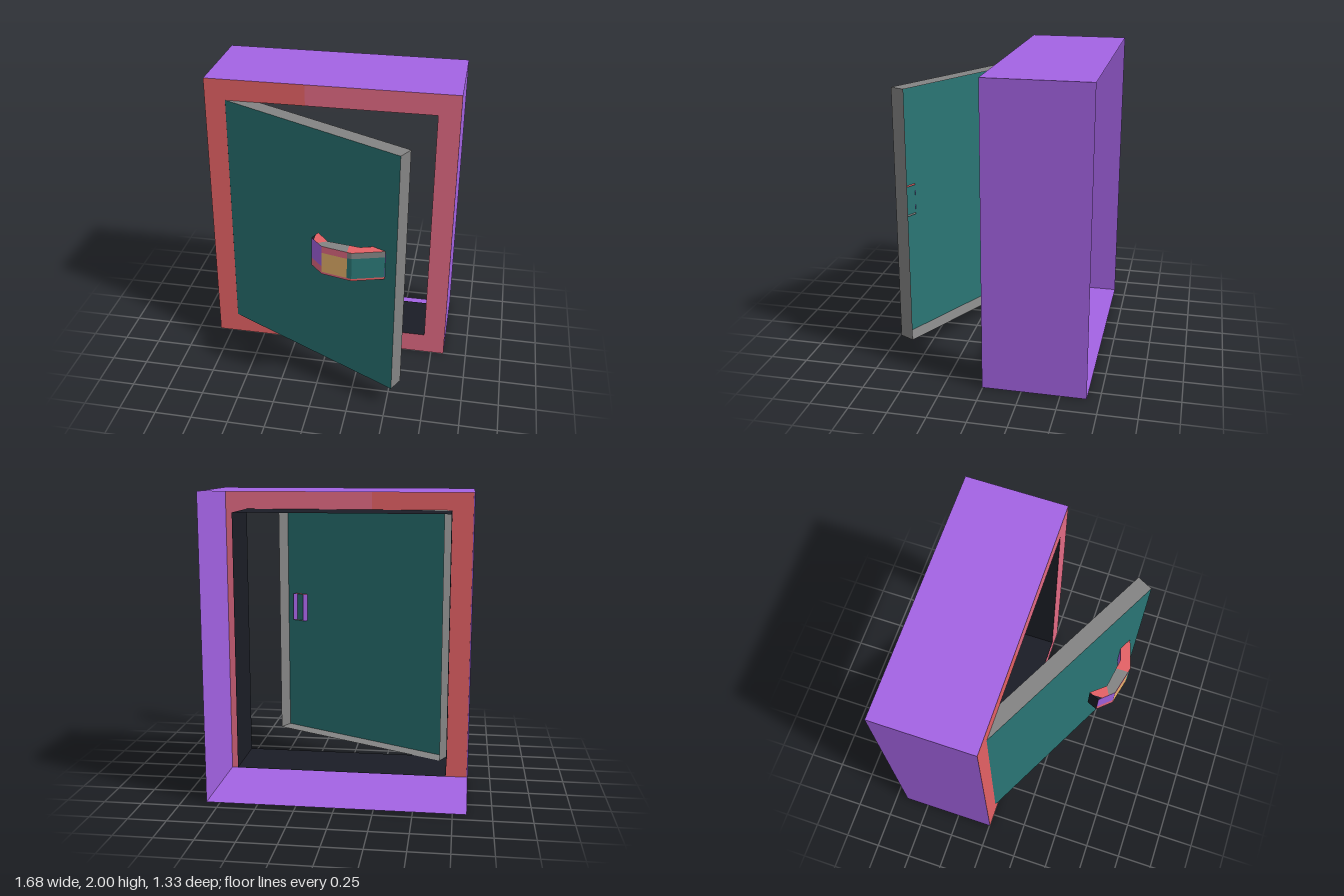
import * as THREE from 'three';

const mat = (name, color) => {
  const m = new THREE.MeshStandardMaterial({ color, side: THREE.DoubleSide });
  m.name = name;
  return m;
};

export function createModel() {
  const purple = mat('purple', 0xa463e4);
  const coral = mat('coral', 0xe46165);
  const pink = mat('pink', 0xe36a84);
  const teal = mat('teal', 0x2a7675);
  const grey = mat('grey', 0x848484);
  const ochre = mat('ochre', 0xe6b26a);
  const black = mat('black', 0x1b1d26);

  const model = new THREE.Group();
  const add = (parent, name, geometry, material) => {
    const mesh = new THREE.Mesh(geometry, material);
    mesh.name = name;
    parent.add(mesh);
  };

  // flat convex face from corners in counter-clockwise order
  const face = (...corners) => {
    const g = new THREE.BufferGeometry();
    g.setAttribute('position', new THREE.Float32BufferAttribute(corners.flat(), 3));
    const index = [];
    for (let i = 1; i < corners.length - 1; i++) index.push(0, i, i + 1);
    g.setIndex(index);
    const flat = g.toNonIndexed();
    flat.computeVertexNormals();
    return flat;
  };

  // four thin walls around a rectangle, open at both ends
  const addWalls = (parent, name, material, [x0, x1, y0, y1], zFront, zBack, inward) => {
    const walls = new THREE.Group();
    walls.name = name;
    const loop = [[x0, y0], [x1, y0], [x1, y1], [x0, y1]];
    if (inward) loop.reverse();
    const sides = ['A', 'B', 'C', 'D'];
    loop.forEach((a, i) => {
      const b = loop[(i + 1) % 4];
      add(walls, name + sides[i],
        face([...a, zFront], [...a, zBack], [...b, zBack], [...b, zFront]), material);
    });
    parent.add(walls);
  };

  const flatShape = (points) =>
    new THREE.ShapeGeometry(new THREE.Shape(points.map((p) => new THREE.Vector2(...p))));

  // frame: outer shell open at the back, and a shorter lining around the opening
  const frame = new THREE.Group();
  frame.name = 'frame';
  frame.position.z = 0.005;
  model.add(frame);
  const W = 0.84, wRight = -0.7, wLeft = 0.694, H = 2, y0 = 0.147, y1 = 1.856, split = -0.165;
  addWalls(frame, 'outerWall', purple, [-W, W, 0, H], 0, -0.673, false);
  addWalls(frame, 'openingLining', black, [wRight, wLeft, y0, y1], 0, -0.405, true);

  // two-colour front trim
  const trim = (outer, inner) => flatShape([[split, 0], [outer, 0], [outer, H], [split, H],
    [split, y1], [inner, y1], [inner, y0], [split, y0]]);
  add(frame, 'frontTrimRight', trim(-W, wRight), coral);
  add(frame, 'frontTrimLeft', trim(W, wLeft), pink);

  // door: front panel with a rim behind it, swung open about its hinge edge
  const door = new THREE.Group();
  door.name = 'door';
  door.position.set(wRight, 0, 0.004);
  door.rotation.y = -0.477;
  model.add(door);
  const L = 1.389;
  add(door, 'doorPanel', flatShape([[0, y0], [L, y0], [L, y1], [0, y1]]), teal);
  addWalls(door, 'doorRim', grey, [0, L, y0, y1], 0, -0.108, false);

  // handle: hollow bent lever whose open root passes just through the door panel
  const handle = new THREE.Group();
  handle.name = 'handle';
  handle.position.z = 0.005;
  model.add(handle);
  const bottom = 0.985, top = 1.187;
  const A = [-0.02, 0.52], E = [0.03, 0.576], B = [0.063, 0.612], M = [0.23, 0.653];
  const C = [0.26, 0.66], D = [0.46, 0.6], R = [0.49, 0.591];
  const a = [0.01, 0.45], b = [0.09, 0.545], m = [0.23, 0.568];
  const c = [0.3, 0.58], d = [0.38, 0.555], r = [0.41, 0.546];
  const at = ([x, z], y) => [x, y, z];
  const upright = (name, p, q, low, high, material) =>
    add(handle, name, face(at(p, low), at(q, low), at(q, high), at(p, high)), material);

  // front faces in horizontal bands: end points, then [lower edge, upper edge, colour]
  const outerBands = [[bottom, 1.0, coral], [1.0, 1.145, teal], [1.145, top, grey]];
  [
    [A, B, [[bottom, 1.04, pink], [1.04, top, purple]]],
    [B, M, [[bottom, 1.0, pink], [1.0, 1.14, ochre], [1.14, top, pink]]],
    [M, C, outerBands],
    [C, D, outerBands],
    [D, R, [[bottom, top, purple]]],
  ].forEach(([p, q, bands]) => bands.forEach(([low, high, material]) =>
    upright('handleFront', p, q, low, high, material)));

  // inner faces and free end
  [[r, d], [d, c], [c, m], [m, b], [b, a]].forEach(([p, q]) =>
    upright('handleInner', p, q, bottom, top, purple));
  upright('handleEnd', a, A, bottom, top, black);

  // top and bottom faces, with a dark corner at the free end
  const tipIn = [0, 0.473], tipOut = [0, 0.5425];
  [
    [[tipIn, A, tipOut], black],
    [[a, tipIn, tipOut, E, b], coral],
    [[E, B, M, m, b], grey],
    [[M, C, c, m], coral],
    [[C, D, d, c], coral],
    [[D, R, r, d], coral],
  ].forEach(([outline, material]) => {
    add(handle, 'handleTop', face(...outline.map((p) => at(p, top))), material);
    add(handle, 'handleBottom', face(...outline.map((p) => at(p, bottom)).reverse()), grey);
  });

  return model;
}
